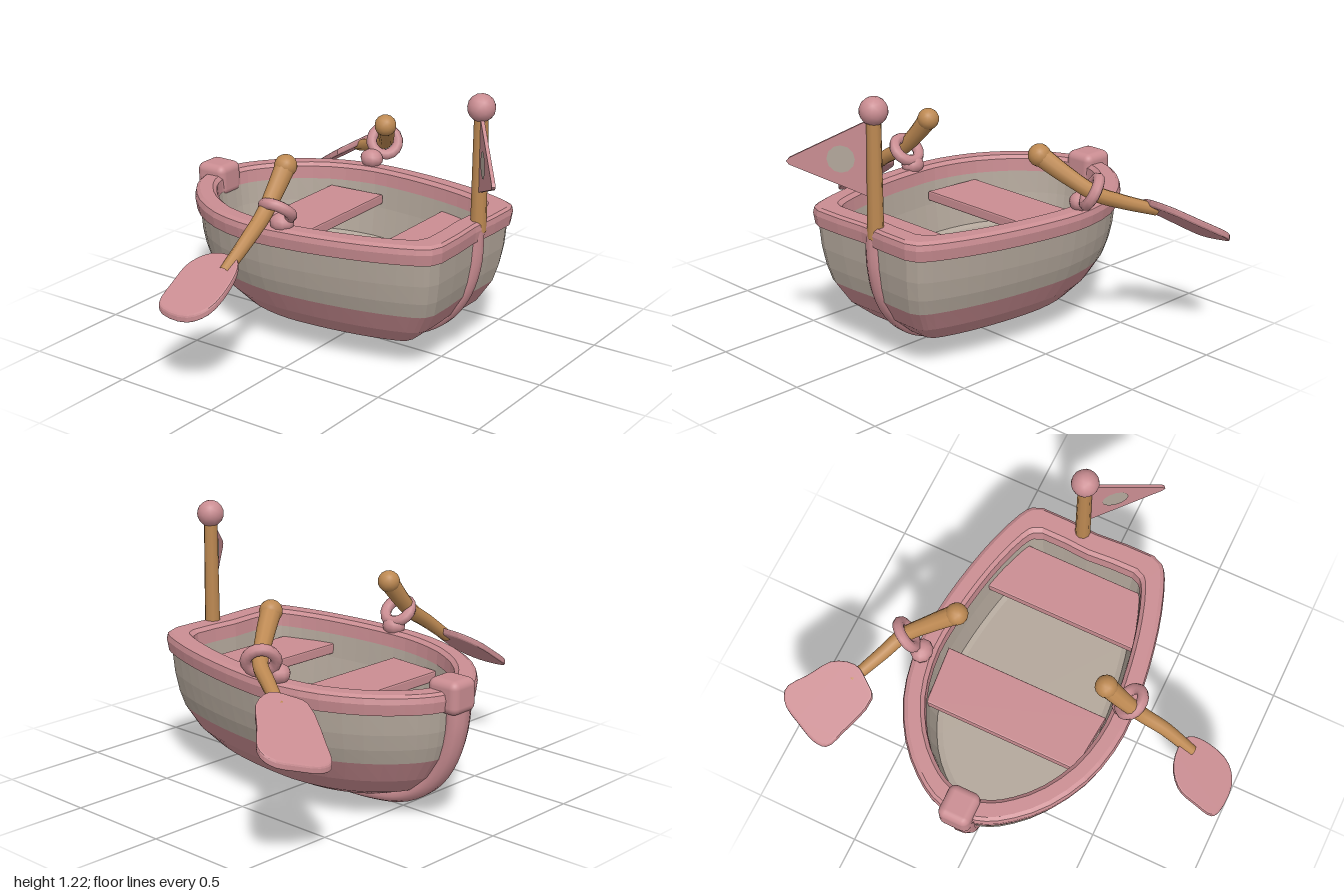
import * as THREE from 'three';
import { RoundedBoxGeometry } from 'three/addons/geometries/RoundedBoxGeometry.js';

const V = (x, y, z) => new THREE.Vector3(x, y, z);
const CX = 0.025; // centre line of the hull

// Plan outline of the boat: half width (0..1) and length (0 bow .. 1 stern)
const half = [[0.62, 1], [0.71, 0.965], [0.84, 0.84], [0.93, 0.7], [0.985, 0.56], [1, 0.43],
  [0.92, 0.285], [0.71, 0.147], [0.43, 0.05], [0.2, 0.006]];
const loop = [[0, 1], ...half, [0, 0], ...half.slice().reverse().map(([x, t]) => [-x, t])];
const outline = new THREE.CatmullRomCurve3(loop.map(([x, t]) => V(x, 0, t)), true).getPoints(52).slice(0, -1);

// Raises the sheer a little toward the stern
const sheer = (y, z) => y + 0.025 * z * THREE.MathUtils.smoothstep(y, 0.32, 0.52);

// Skins a stack of rings [y, halfWidth, zBow, zStern] with faceted quads
function loft(rings) {
  const n = outline.length, pos = [], idx = [];
  for (const [y, w, zb, zf] of rings) for (const p of outline) {
    const z = zb + (zf - zb) * p.z;
    pos.push(CX + p.x * w, sheer(y, z), z);
  }
  for (let r = 0; r < rings.length - 1; r++) for (let k = 0; k < n; k++) {
    const a = r * n + k, b = r * n + (k + 1) % n;
    idx.push(a, b, a + n, b, b + n, a + n);
  }
  let g = new THREE.BufferGeometry();
  g.setAttribute('position', new THREE.Float32BufferAttribute(pos, 3));
  g.setIndex(idx);
  g = g.toNonIndexed();
  g.computeVertexNormals();
  return g;
}

// Tube whose radius varies along its path; wide[] is the extra factor along x
function taperTube(points, radii, wide = [1, 1], n = 24, sides = 10) {
  const curve = new THREE.CatmullRomCurve3(points);
  const g = new THREE.TubeGeometry(curve, n, 1, sides), p = g.attributes.position;
  const at = (a, u) => {
    const f = u * (a.length - 1), i = Math.min(Math.floor(f), a.length - 2);
    return THREE.MathUtils.lerp(a[i], a[i + 1], f - i);
  };
  for (let i = 0; i <= n; i++) {
    const c = curve.getPointAt(i / n), r = at(radii, i / n), s = at(wide, i / n);
    for (let j = 0; j <= sides; j++) {
      const k = i * (sides + 1) + j;
      p.setXYZ(k, c.x + (p.getX(k) - c.x) * r * s, c.y + (p.getY(k) - c.y) * r, c.z + (p.getZ(k) - c.z) * r);
    }
  }
  return g;
}

// Horizontal board from a plan polygon of [x, z], lying below y = 0
function board(plan, thick, round = false) {
  const pts = plan.map(([x, z]) => new THREE.Vector2(x, -z));
  const shape = new THREE.Shape();
  if (round) {
    const c = new THREE.CatmullRomCurve3(pts.map(p => V(p.x, p.y, 0)), true, 'centripetal');
    shape.setFromPoints(c.getPoints(32).slice(0, -1).map(p => new THREE.Vector2(p.x, p.y)));
  } else shape.setFromPoints(pts);
  const b = 0.008;
  const g = new THREE.ExtrudeGeometry(shape, { depth: thick - 2 * b, bevelEnabled: true,
    bevelSize: b, bevelOffset: -b, bevelThickness: b, bevelSegments: 2 });
  g.rotateX(-Math.PI / 2);
  return g.translate(0, b - thick, 0);
}

export function createModel() {
  const model = new THREE.Group();
  const paint = (name, color) => Object.assign(new THREE.MeshStandardMaterial({ color }), { name });
  const pink = paint('dusty pink', 0xca8d92);
  const grey = paint('warm grey', 0xb3a79b);
  const wood = paint('wood', 0xbd8952);
  const add = (name, geo, mat, parent = model) => {
    const m = new THREE.Mesh(geo, mat);
    m.name = name;
    parent.add(m);
    return m;
  };

  // Hull skin: pink bottom, grey band, pink gunwale, grey inside with floor
  add('hullBottom', loft([[0.042, 0.004, -0.12, -0.1], [0.047, 0.09, -0.3, 0.12], [0.07, 0.2, -0.47, 0.29],
    [0.12, 0.3, -0.6, 0.43], [0.2, 0.375, -0.69, 0.525], [0.3, 0.435, -0.755, 0.585]]), pink);
  add('hullBand', loft([[0.3, 0.435, -0.755, 0.585], [0.37, 0.46, -0.775, 0.605],
    [0.45, 0.477, -0.787, 0.62], [0.56, 0.49, -0.793, 0.628]]), grey);
  add('gunwale', loft([[0.548, 0.482, -0.785, 0.62], [0.55, 0.502, -0.81, 0.64], [0.6, 0.51, -0.817, 0.647],
    [0.625, 0.504, -0.81, 0.643], [0.636, 0.485, -0.795, 0.63], [0.636, 0.43, -0.73, 0.55],
    [0.62, 0.412, -0.712, 0.532], [0.56, 0.408, -0.708, 0.528]]), pink);
  add('hullInside', loft([[0.57, 0.412, -0.712, 0.532], [0.45, 0.4, -0.7, 0.525], [0.31, 0.375, -0.68, 0.515],
    [0.3, 0.35, -0.65, 0.49], [0.3, 0.002, -0.1, -0.09]]), grey);

  // Benches
  add('middleBench', board([[-0.345, -0.39], [0.395, -0.39], [0.42, -0.11], [-0.37, -0.11]], 0.05), pink)
    .position.y = 0.52;
  add('sternBench', board([[-0.355, 0.24], [0.405, 0.24], [0.315, 0.505], [-0.265, 0.505]], 0.05), pink)
    .position.y = 0.52;

  // Keel running from the stern, under the hull and up the bow
  const keel = [[0.61, 0.618], [0.45, 0.61], [0.3, 0.565], [0.18, 0.48], [0.1, 0.36], [0.062, 0.18], [0.04, -0.1],
    [0.042, -0.35], [0.075, -0.53], [0.16, -0.67], [0.28, -0.755], [0.42, -0.8], [0.6, -0.815]];
  add('keel', taperTube(keel.map(([y, z]) => V(0.045 + 0.04 * z + (y > 0.3 && z > 0 ? 0.005 : 0), y, z)),
    [0.035, 0.036, 0.037, 0.037, 0.04, 0.043], [1.25, 1.25, 1.25, 1.3, 1.4, 1.6], 48), pink);
  add('bowCap', new RoundedBoxGeometry(0.15, 0.15, 0.16, 3, 0.035), pink).position.set(0.027, 0.588, -0.782);

  // Flagpole with ball and pennant
  const flag = new THREE.Group();
  flag.name = 'flag';
  flag.position.set(0.088, 0, 0.62);
  model.add(flag);
  add('pole', new THREE.CylinderGeometry(0.031, 0.036, 0.54, 10), wood, flag).position.y = 0.87;
  add('poleBall', new THREE.IcosahedronGeometry(0.062, 2), pink, flag).position.y = 1.158;
  const pennant = new THREE.Group();
  pennant.name = 'pennant';
  pennant.rotation.y = Math.atan2(-0.638, -0.77);
  flag.add(pennant);
  const tri = new THREE.Shape([[0.01, 0.78], [0.36, 0.915], [0.372, 0.93], [0.36, 0.945], [0.01, 1.125]]
    .map(([x, y]) => new THREE.Vector2(x, y)));
  add('cloth', new THREE.ExtrudeGeometry(tri, { depth: 0.016, bevelEnabled: false }).translate(0, 0, -0.008), pink, pennant);
  for (const s of [1, -1]) {
    const dot = add('flagDot', new THREE.CircleGeometry(0.06, 12), grey, pennant);
    dot.position.set(0.14, 0.948, s * 0.011);
    if (s < 0) dot.rotation.y = Math.PI;
  }

  // Oars: bent shaft, knob, sheared blade, rowlock ring on a small foot
  function oar(name, path, plan, height, ring, foot) {
    const g = new THREE.Group();
    g.name = name;
    model.add(g);
    add('shaft', taperTube(path, [0.046, 0.037, 0.033, 0.027]), wood, g);
    add('knob', new THREE.IcosahedronGeometry(0.051, 2), wood, g).position.copy(path[0]);
    const blade = board(plan, 0.034, true), p = blade.attributes.position;
    for (let i = 0; i < p.count; i++) p.setY(i, p.getY(i) + 0.017 + height(p.getX(i), p.getZ(i)));
    blade.computeVertexNormals();
    add('blade', blade, pink, g);
    const lock = add('rowlockRing', new THREE.TorusGeometry(0.064, 0.026, 8, 16), pink, g);
    lock.position.copy(ring.at);
    lock.quaternion.setFromUnitVectors(V(0, 0, 1), ring.axis.normalize());
    const f = add('rowlockFoot', new THREE.SphereGeometry(0.05, 10, 8), pink, g);
    f.scale.set(1, 0.9, 1.15);
    f.position.copy(foot);
  }
  oar('leftOar', [V(0.38, 0.88, -0.068), V(0.48, 0.8, -0.13), V(0.585, 0.72, -0.21), V(0.64, 0.675, -0.31), V(0.72, 0.62, -0.46)],
    [[0.6, -0.5], [0.65, -0.45], [0.72, -0.41], [0.83, -0.435], [0.91, -0.52], [0.99, -0.61], [0.97, -0.665],
      [0.88, -0.715], [0.78, -0.755], [0.72, -0.75], [0.67, -0.67]],
    (x, z) => 0.67 + 0.64 * (z + 0.4),
    { at: V(0.57, 0.728, -0.2), axis: V(0.6, -0.45, -0.65) }, V(0.49, 0.66, -0.22));
  oar('rightOar', [V(-0.35, 0.88, -0.092), V(-0.43, 0.79, -0.09), V(-0.52, 0.705, -0.085), V(-0.64, 0.63, -0.08), V(-0.78, 0.53, -0.09)],
    [[-0.725, -0.08], [-0.735, -0.2], [-0.8, -0.275], [-0.89, -0.29], [-0.975, -0.29], [-1, -0.25], [-1, -0.11],
      [-0.94, -0.035], [-0.82, -0.018], [-0.75, -0.04]],
    x => 0.565 + 0.67 * (x + 0.73),
    { at: V(-0.46, 0.715, -0.055), axis: V(-0.68, -0.73, 0.05) }, V(-0.425, 0.65, -0.06));

  return model;
}
